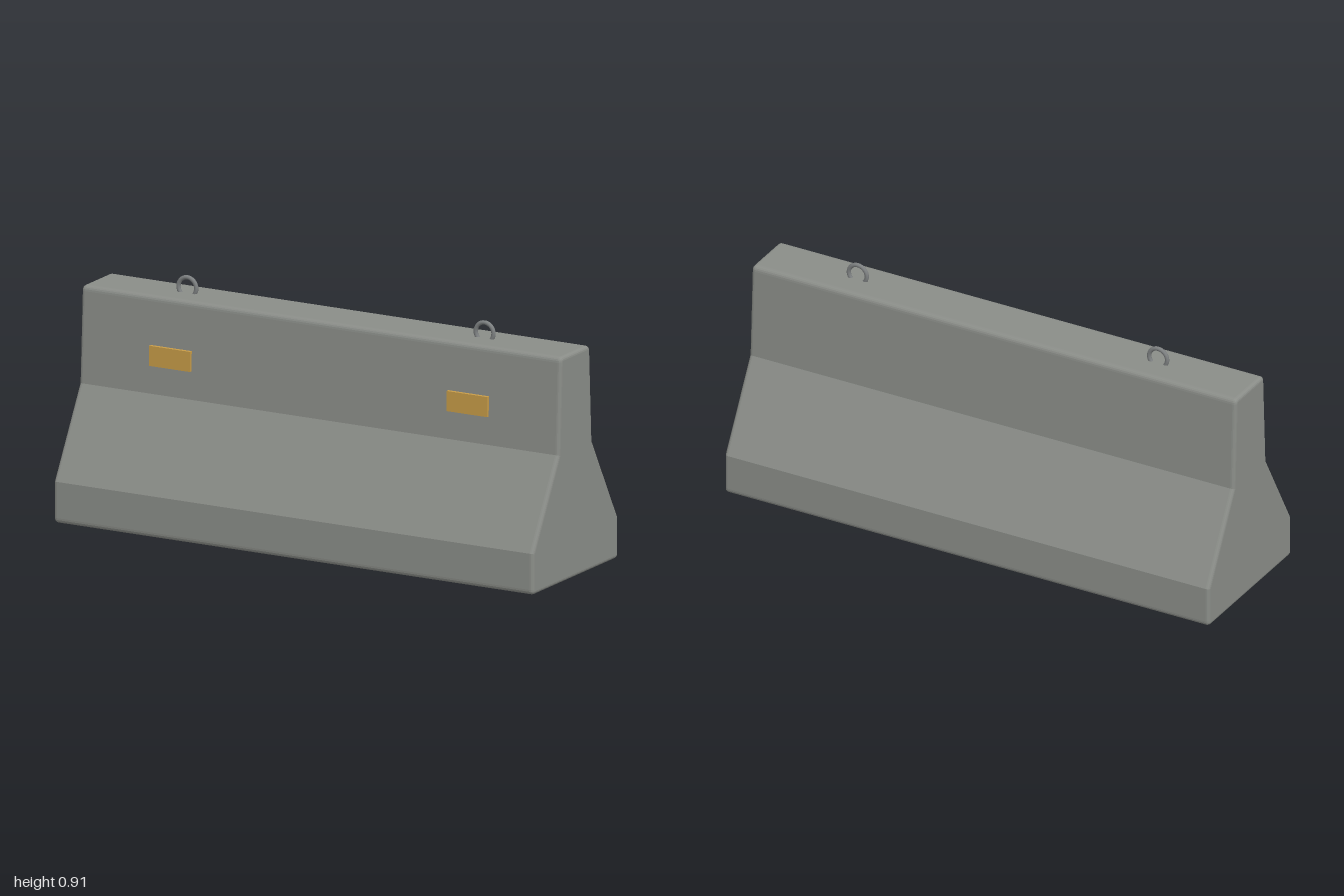
import * as THREE from 'three';

export function createModel() {
  const model = new THREE.Group();
  const mat = (name, color) => {
    const m = new THREE.MeshStandardMaterial({ color });
    m.name = name;
    return m;
  };
  const concrete = mat('concrete', 0x8a8d88);
  const steel = mat('steel', 0x7c7f80);
  const amber = mat('amber', 0xc79c48);

  const add = (name, geometry, material, x, y, z) => {
    const mesh = new THREE.Mesh(geometry, material);
    mesh.name = name;
    mesh.position.set(x, y, z);
    model.add(mesh);
  };

  // Stepped barrier section, with softened bottom and top corners
  const base = 0.305, waist = 0.122, top = 0.105, h = 0.84, r = 0.02, bevel = 0.014;
  const s = new THREE.Shape();
  s.moveTo(-base + r, 0);
  s.lineTo(base - r, 0);
  s.quadraticCurveTo(base, 0, base, r);
  s.lineTo(base, 0.155);
  s.lineTo(waist, 0.48);
  s.lineTo(top + 0.001, h - r);
  s.quadraticCurveTo(top, h, top - r, h);
  s.lineTo(-top + r, h);
  s.quadraticCurveTo(-top, h, -top - 0.001, h - r);
  s.lineTo(-waist, 0.48);
  s.lineTo(-base, 0.155);
  s.lineTo(-base, r);
  s.quadraticCurveTo(-base, 0, -base + r, 0);

  // Section run along x with rounded ends
  const depth = 2 - 2 * bevel;
  const body = new THREE.ExtrudeGeometry(s, {
    depth, curveSegments: 5, bevelEnabled: true, bevelSegments: 4,
    bevelThickness: bevel, bevelSize: bevel, bevelOffset: -bevel,
  });
  body.translate(0, 0, -depth / 2).rotateY(Math.PI / 2);
  add('barrierBody', body, concrete, 0, 0, 0);

  // Lifting loops sunk into the top, and reflectors on the front face
  for (const [side, x] of [['left', 0.62], ['right', -0.62]]) {
    add(side + 'LiftingLoop', new THREE.TorusGeometry(0.037, 0.008, 12, 32), steel, x, 0.86, 0);
    add(side + 'Reflector', new THREE.BoxGeometry(0.17, 0.075, 0.022), amber, x, 0.622, 0.116);
  }
  return model;
}
